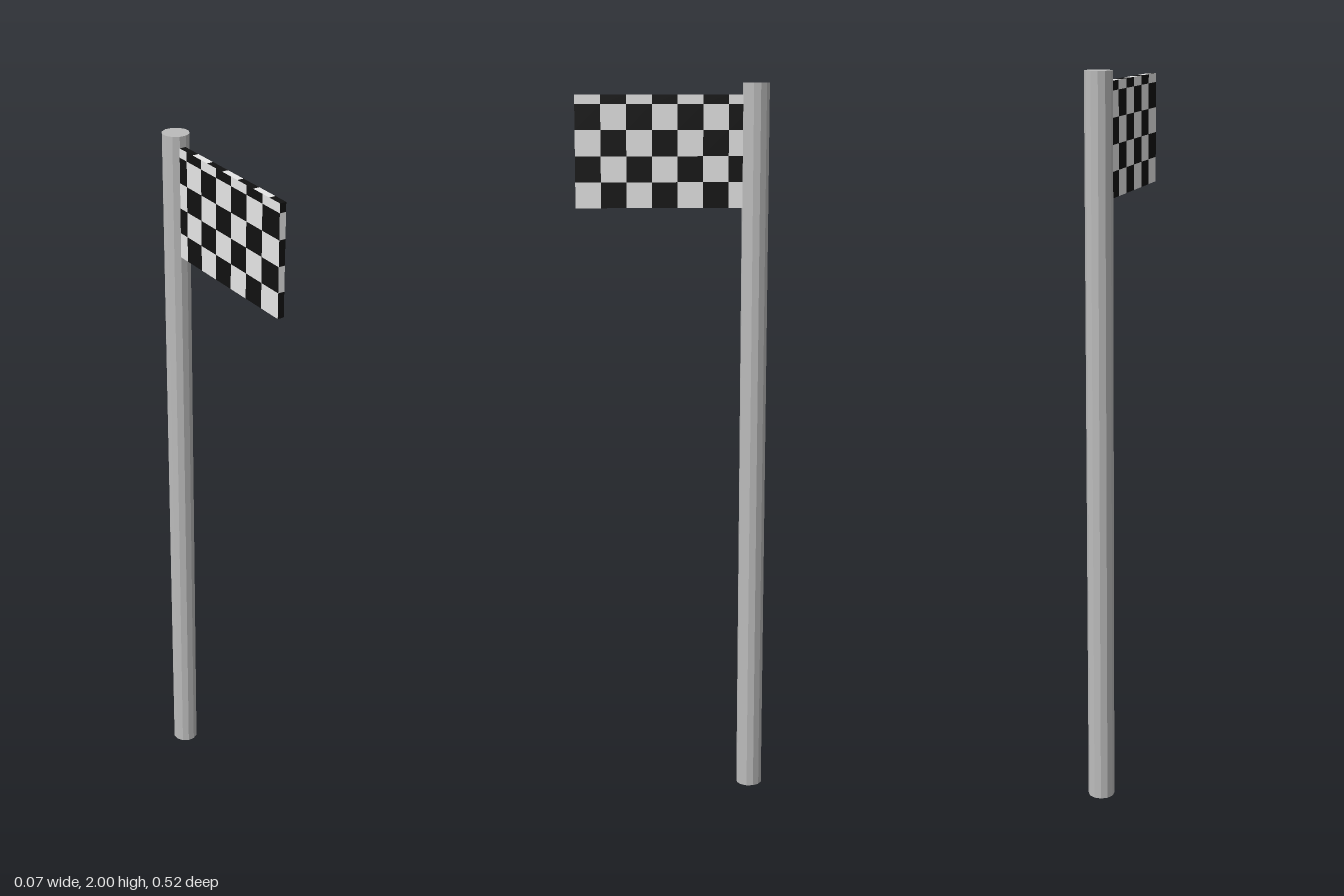
import * as THREE from 'three';
import { mergeGeometries } from 'three/addons/utils/BufferGeometryUtils.js';

const CELL = 0.0688;
const T = 0.018, H = 0.3, L = 0.486; // flag thickness, height, length

const mat = (name, color, flatShading = false) => {
  const m = new THREE.MeshStandardMaterial({ color, flatShading });
  m.name = name;
  return m;
};

// Cell boundaries along an edge, with a possibly shorter first cell
function edges(length, first) {
  const e = [0];
  for (let p = first; p < length - 0.005; p += CELL) e.push(p);
  e.push(length);
  return e;
}

// Checkered rectangle in the XY plane, split into dark and light faces
function checker(name, w, h, firstU, firstV, darkFirst, white, black) {
  const parts = [[], []];
  const us = edges(w, firstU), vs = edges(h, firstV);
  for (let i = 0; i < us.length - 1; i++) {
    for (let j = 0; j < vs.length - 1; j++) {
      const g = new THREE.PlaneGeometry(us[i + 1] - us[i], vs[j + 1] - vs[j]);
      g.translate((us[i] + us[i + 1] - w) / 2, (vs[j] + vs[j + 1] - h) / 2, 0);
      parts[(i + j + (darkFirst ? 1 : 0)) % 2].push(g);
    }
  }
  const panel = new THREE.Group();
  panel.name = name;
  parts.forEach((list, k) => {
    const mesh = new THREE.Mesh(mergeGeometries(list), k ? black : white);
    mesh.name = name + (k ? 'DarkSquares' : 'LightSquares');
    panel.add(mesh);
  });
  return panel;
}

export function createModel() {
  const model = new THREE.Group();
  model.name = 'checkeredFlag';
  const grey = mat('poleGrey', 0xbcbcbc, true);
  const white = mat('flagWhite', 0xf4f4f4);
  const black = mat('flagBlack', 0x111111);

  // Twelve-sided pole, flats facing the axes
  const poleZ = -0.226;
  const pole = new THREE.Mesh(new THREE.CylinderGeometry(0.0365, 0.0365, 2, 12).rotateY(Math.PI / 12), grey);
  pole.name = 'pole';
  pole.position.set(0, 1, poleZ);
  model.add(pole);

  // Flag hinged at the pole, turned very slightly
  const flag = new THREE.Group();
  flag.name = 'flag';
  flag.position.set(-0.001, 1.82, poleZ);
  flag.rotation.y = -0.005;
  model.add(flag);

  // Broad sides
  for (const s of [1, -1]) {
    const side = checker(s > 0 ? 'leftSide' : 'rightSide', L, H, CELL, CELL, false, white, black);
    side.rotation.y = s * Math.PI / 2;
    side.position.set(s * T / 2, 0, L / 2);
    flag.add(side);
  }

  // Thin edges
  const top = checker('topEdge', T, L, CELL, 0.045, true, white, black);
  top.rotation.x = -Math.PI / 2;
  top.position.set(0, H / 2, L / 2);
  const front = checker('frontEdge', T, H, CELL, CELL, true, white, black);
  front.position.z = L;
  const bottom = new THREE.Mesh(new THREE.PlaneGeometry(T, L), white);
  bottom.name = 'bottomEdge';
  bottom.rotation.x = Math.PI / 2;
  bottom.position.set(0, -H / 2, L / 2);
  flag.add(top, front, bottom);

  return model;
}
